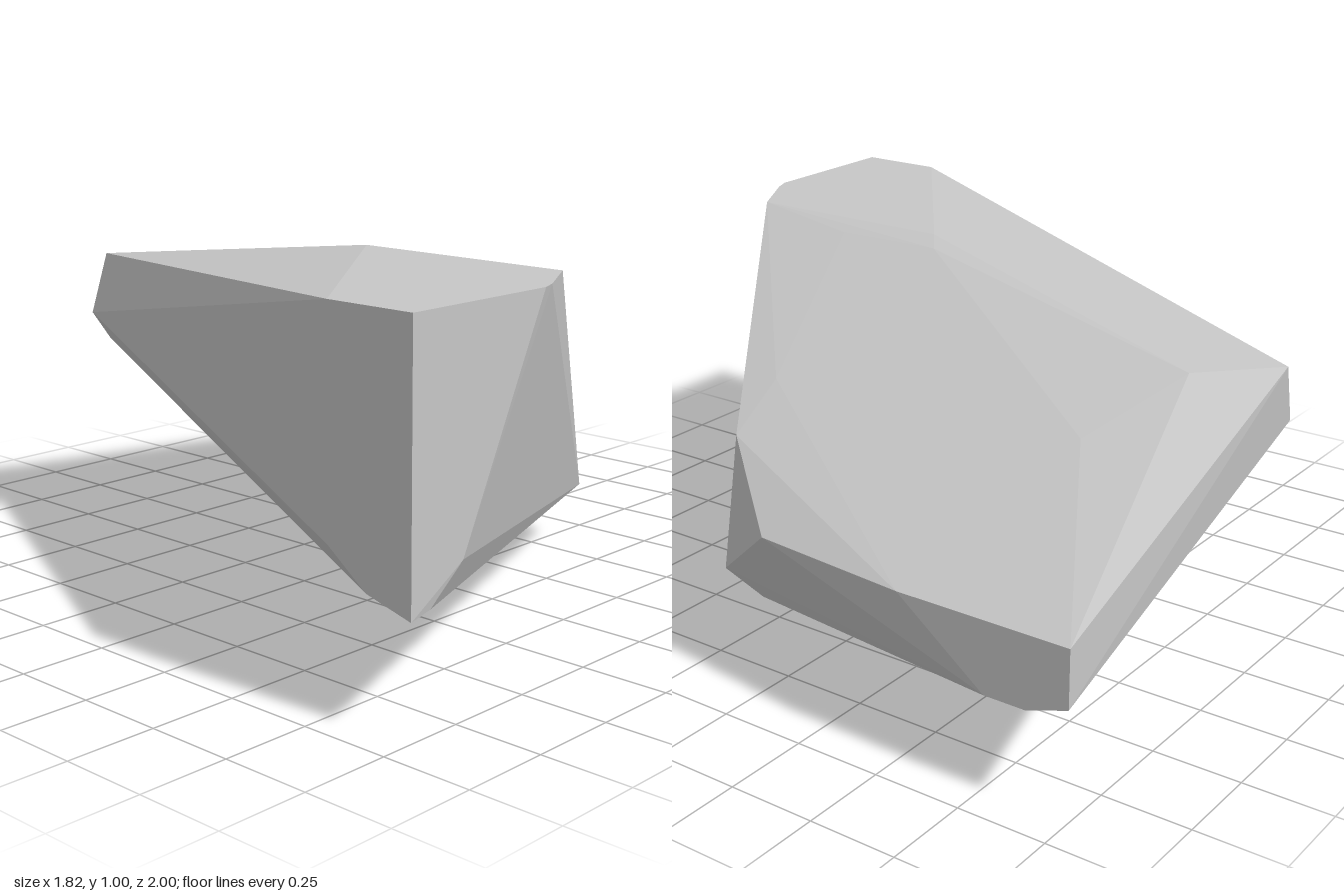
import * as THREE from 'three';
import { ConvexGeometry } from 'three/addons/geometries/ConvexGeometry.js';

export function createModel() {
  const group = new THREE.Group();
  group.name = 'rock';
  const stone = new THREE.MeshStandardMaterial({ color: 0xc6c6c6 });
  stone.name = 'grey stone';

  // Blunt front end and the narrow end face on the -x side
  const frontEnd = [
    [-0.91, 1, 1], [-0.44, 1, 1], [-0.39, 1, 0.98], [-0.73, 0.4, 1], [-0.72, 0.41, 0.985],
    [-0.91, 0.293, 1], [-0.84, 0.305, 0.995],
    [-0.91, 1, 0.74], [-0.91, 0.42, 0.74], [-0.91, 0.33, 0.86],
  ];
  // Gently domed, sloping top
  const top = [
    [-0.21, 1, 0.875], [-0.21, 1, 0.21], [-0.14, 0.98, 0.16], [-0.14, 0.975, 0.5],
    [0.07, 0.855, -0.82], [0.37, 0.735, -0.68], [0.42, 0.705, 0.3],
  ];
  // Chipped +x side
  const side = [
    [0.615, 0.6, 0.28], [0.62, 0.18, 0.34], [0.62, 0.13, 0.2], [0.845, 0.455, -0.01],
    [0.91, 0.47, -0.5], [0.91, 0.27, -0.76], [0.91, 0.27, -0.88],
  ];
  // Cleaved back face
  const back = [
    [0.91, 0.47, -1], [0.91, 0.31, -1], [-0.14, 0.85, -1], [-0.22, 0.67, -0.98], [-0.23, 0.6, -0.88],
  ];
  // Rounded keel the rock stands on
  const keel = [
    [0.4, 0.02, 0], [0.4, 0, -0.15], [0.43, 0.004, -0.27], [0.53, 0.03, -0.4],
    [0.31, 0.08, -0.44], [0.05, 0.19, -0.58],
  ];

  const points = [...frontEnd, ...top, ...side, ...back, ...keel]
    .map((p) => new THREE.Vector3(...p));
  const boulder = new THREE.Mesh(new ConvexGeometry(points), stone);
  boulder.name = 'boulder';
  group.add(boulder);
  return group;
}
